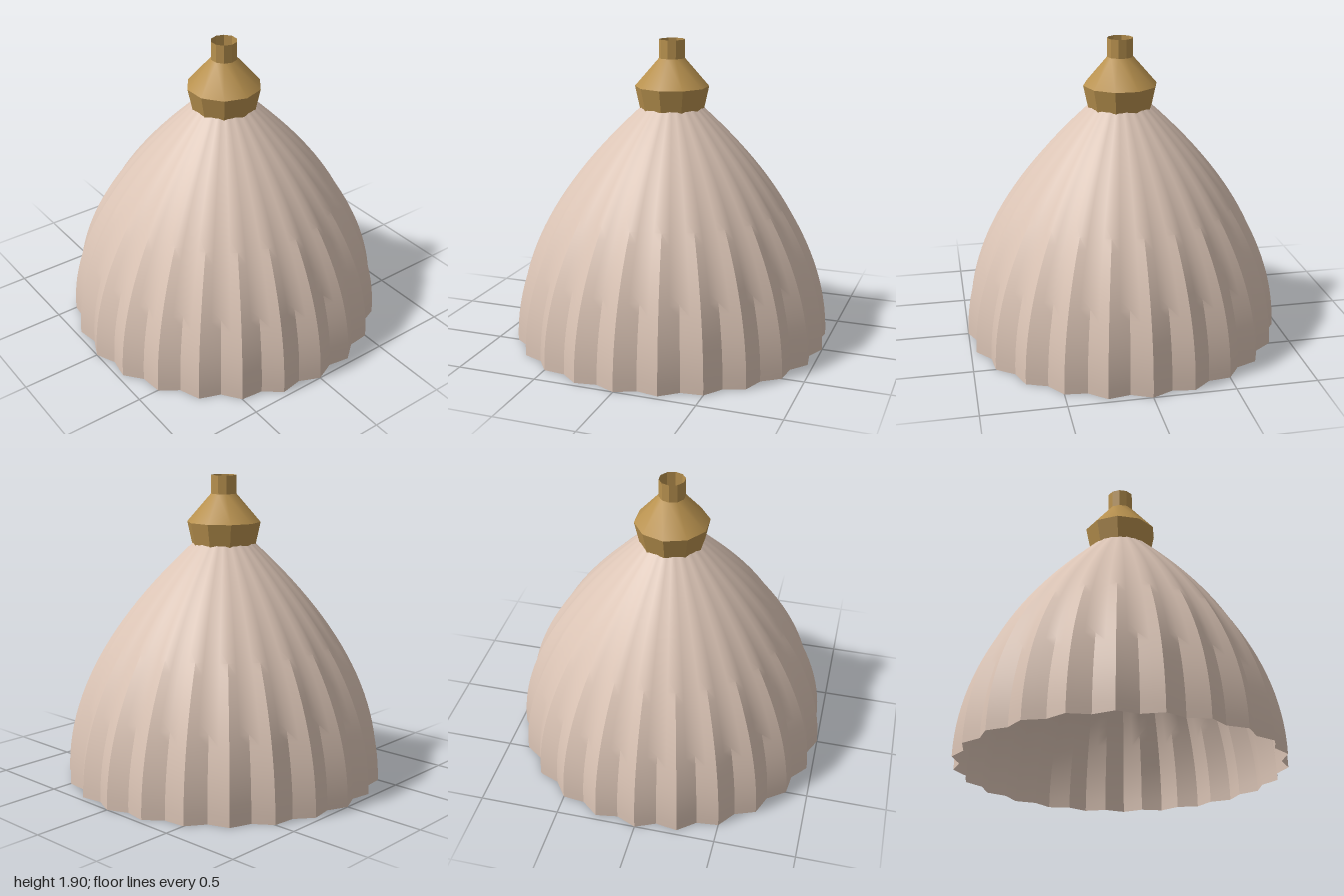
import * as THREE from 'three';
import { toCreasedNormals } from 'three/addons/utils/BufferGeometryUtils.js';

const CREASE = THREE.MathUtils.degToRad(30);

export function createModel() {
  const group = new THREE.Group();
  group.name = 'pendantLamp';

  const blush = new THREE.MeshStandardMaterial({ color: 0xdcc5b6, side: THREE.DoubleSide });
  blush.name = 'blush shade';
  const brass = new THREE.MeshStandardMaterial({ color: 0xb9924f, side: THREE.DoubleSide });
  brass.name = 'brass';

  // Parabolic bell profile of the shade, from the rim to inside the cap
  const rows = 25, shadeTop = 1.5;
  const profile = [];
  for (let i = 0; i < rows; i++) {
    const y = (shadeTop * i) / (rows - 1);
    profile.push(new THREE.Vector2(1 - 0.8 * (y / 1.475) ** 2, y));
  }

  // 24 flutes of four columns each: ridge, flat flank, valley, flat flank
  const shadeGeo = new THREE.LatheGeometry(profile, 24 * 4);
  const pos = shadeGeo.attributes.position;
  const flank = Math.cos(Math.PI / 48);
  for (let i = 0; i < pos.count; i++) {
    const column = Math.floor(i / rows) % 4;
    const fade = THREE.MathUtils.clamp((pos.getY(i) - 0.4) / 0.8, 0, 1);
    const depth = THREE.MathUtils.lerp(0.047, 0.022, fade);
    const k = [1, (1 - depth / 2) * flank, 1 - depth, (1 - depth / 2) * flank][column];
    pos.setX(i, pos.getX(i) * k);
    pos.setZ(i, pos.getZ(i) * k);
  }
  const shade = new THREE.Mesh(toCreasedNormals(shadeGeo, CREASE), blush);
  shade.name = 'shade';
  group.add(shade);

  // Ten-sided brass cap with a collar, a shoulder and an open neck
  const capProfile = [[0.195, 1.45], [0.23, 1.612], [0.08, 1.785], [0.08, 1.9]]
    .map(([r, y]) => new THREE.Vector2(r, y));
  const capGeo = new THREE.LatheGeometry(capProfile, 10, Math.PI / 2);
  const cap = new THREE.Mesh(toCreasedNormals(capGeo, CREASE), brass);
  cap.name = 'cap';
  group.add(cap);

  return group;
}
